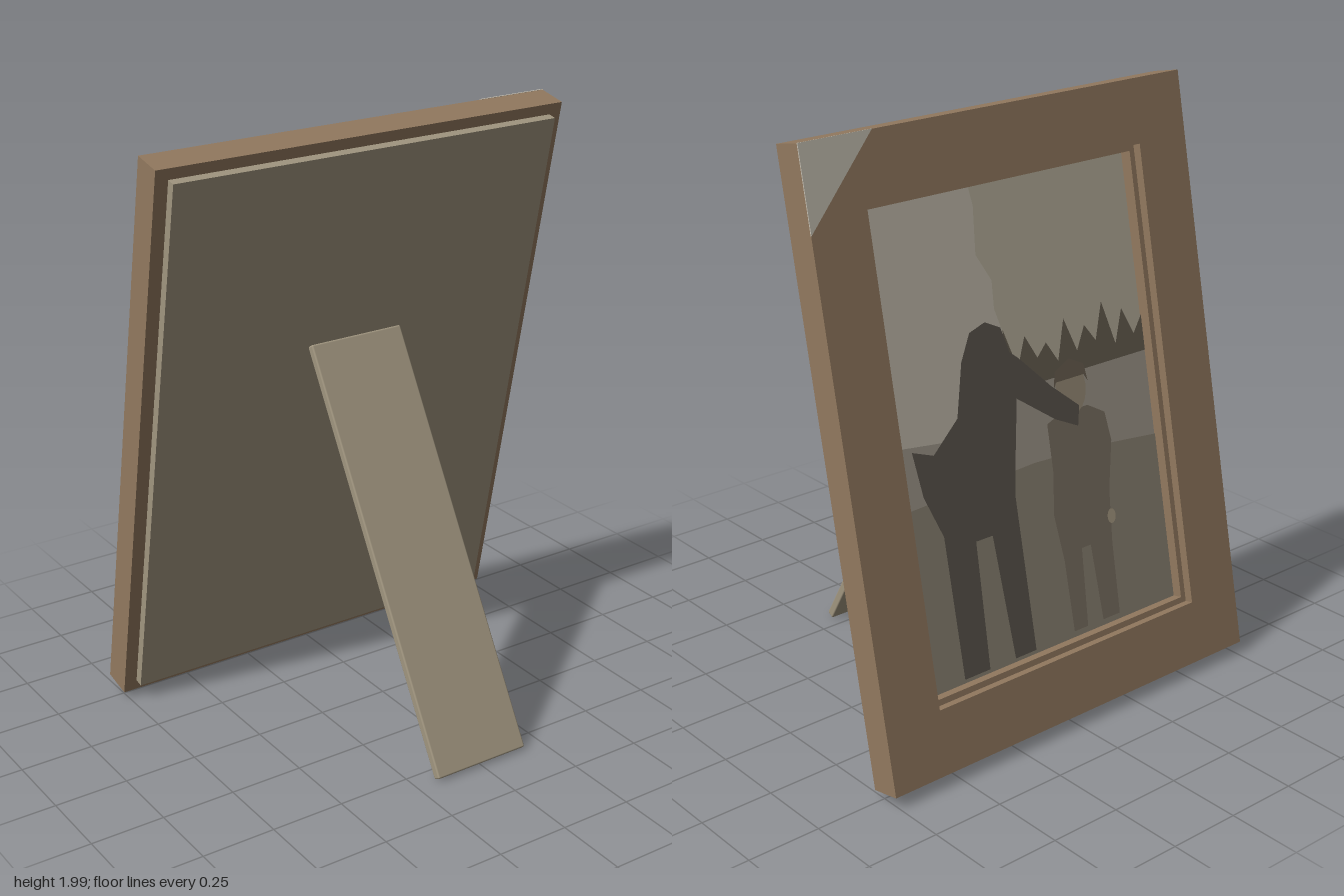
import * as THREE from 'three';
import { RoundedBoxGeometry } from 'three/addons/geometries/RoundedBoxGeometry.js';

const mat = (color) => new THREE.MeshStandardMaterial({ color });
const wood = mat(0x92795f), card = mat(0xa0957f);

function add(parent, name, geometry, material, x = 0, y = 0, z = 0) {
  const mesh = new THREE.Mesh(geometry, material);
  mesh.name = name;
  mesh.position.set(x, y, z);
  parent.add(mesh);
  return mesh;
}

const outline = (points) => new THREE.Shape(points.map(([x, y]) => new THREE.Vector2(x, y)));
const rect = (w, h) => [[-w, -h], [w, -h], [w, h], [-w, h]];

// Rectangular ring given by half sizes, extruded from z = 0
function ring(w, h, holeW, holeH, depth) {
  const shape = outline(rect(w, h));
  shape.holes.push(outline(rect(holeW, holeH).reverse()));
  return new THREE.ExtrudeGeometry(shape, { depth, bevelEnabled: false });
}

export function createModel() {
  const model = new THREE.Group();
  model.name = 'pictureFrame';

  // Leaning frame: local +z is the picture side, which faces away from the stand
  const frame = new THREE.Group();
  frame.name = 'frame';
  frame.position.set(0, 1.025, -0.37);
  frame.rotation.set(-0.207, Math.PI, 0, 'YXZ');
  model.add(frame);

  // Stepped moulding
  add(frame, 'frontMoulding', ring(0.763, 0.996, 0.555, 0.785, 0.03), wood, 0, 0, -0.03);
  add(frame, 'innerMoulding', ring(0.763, 0.996, 0.535, 0.765, 0.077), wood, 0, 0, -0.107);
  add(frame, 'backingBoard', new THREE.BoxGeometry(1.435, 1.916, 0.032), card, 0, 0, -0.122);

  // Pale triangle over one corner
  const corner = outline([[-0.764, 0.997], [-0.764, 0.73], [-0.5, 0.997]]);
  add(frame, 'cornerPatch', new THREE.ExtrudeGeometry(corner, { depth: 0.004, bevelEnabled: false }),
    mat(0xc4beb0), 0, 0, -0.001);

  // Picture made of flat layers, each slightly in front of the last
  const picture = new THREE.Group();
  picture.name = 'picture';
  picture.position.z = -0.071;
  frame.add(picture);
  let layer = 0;
  const flat = (name, points, color) =>
    add(picture, name, new THREE.ShapeGeometry(outline(points)), mat(color), 0, 0, 0.0015 * layer++);

  flat('sky', rect(0.535, 0.765), 0xb5ad9a);
  flat('brightSky', [[-0.535, -0.1], [-0.06, -0.1], [-0.06, 0.3], [-0.08, 0.37], [-0.075, 0.46],
    [-0.125, 0.55], [-0.11, 0.7], [-0.12, 0.765], [-0.535, 0.765]], 0xc0b9aa);
  flat('field', [[-0.535, -0.3], [0.535, -0.3], [0.535, 0.11], [-0.1, 0.11], [-0.3, 0.0], [-0.535, 0.03]], 0x9f978a);

  // Jagged tree line
  const trees = [[-0.06, 0.1], [0.535, 0.1]];
  for (let i = 0; i <= 14; i++) {
    trees.push([0.535 - i * 0.0425, i % 2 ? 0.15 + 0.015 * (i % 3) : 0.22 + 0.02 * (i % 5)]);
  }
  flat('trees', trees, 0x655d50);
  flat('ground', [[-0.535, -0.765], [0.535, -0.765], [0.535, -0.19], [0.3, -0.165], [0, -0.15], [-0.535, -0.17]], 0x8b8272);

  // Small figure
  flat('childBody', [[0.07, -0.04], [0.13, -0.02], [0.25, -0.02], [0.32, -0.06], [0.335, -0.16], [0.3, -0.32],
    [0.285, -0.5], [0.28, -0.745], [0.205, -0.745], [0.19, -0.48], [0.15, -0.48], [0.135, -0.745],
    [0.075, -0.745], [0.07, -0.5], [0.05, -0.34], [0.07, -0.2]], 0x7b7162);
  const oval = (name, x, y, rx, ry, color) => {
    const mesh = add(picture, name, new THREE.CircleGeometry(1, 20), mat(color), x, y, 0.0015 * layer++);
    mesh.scale.set(rx, ry, 1);
  };
  oval('childHand', 0.295, -0.41, 0.018, 0.025, 0xa89b84);
  oval('childHead', 0.185, 0.05, 0.065, 0.085, 0x9a8d78);
  flat('childHair', [[0.11, 0.06], [0.125, 0.085], [0.245, 0.085], [0.26, 0.06], [0.25, 0.12],
    [0.19, 0.15], [0.125, 0.12]], 0x6a6051);

  // Large figure reaching across
  flat('adultBody', [[-0.48, 0.01], [-0.4, -0.02], [-0.29, 0.07], [-0.246, 0.237], [-0.2, 0.32], [-0.134, 0.34],
    [-0.075, 0.31], [-0.053, 0.235], [-0.045, 0.08], [-0.08, -0.1], [-0.103, -0.227], [-0.1, -0.75],
    [-0.188, -0.75], [-0.215, -0.33], [-0.283, -0.33], [-0.296, -0.75], [-0.4, -0.75], [-0.404, -0.28],
    [-0.46, -0.138]], 0x5b554d);
  flat('adultArm', [[-0.07, 0.24], [-0.02, 0.2], [0.1, 0.08], [0.208, -0.01], [0.193, -0.075], [0.1, -0.03],
    [-0.07, 0.09]], 0x5b554d);

  // Easel leg
  const leg = add(model, 'standLeg', new RoundedBoxGeometry(0.35, 1.46, 0.03, 2, 0.006), card, 0, 0.645, 0.2);
  leg.rotation.x = -0.523;

  return model;
}
